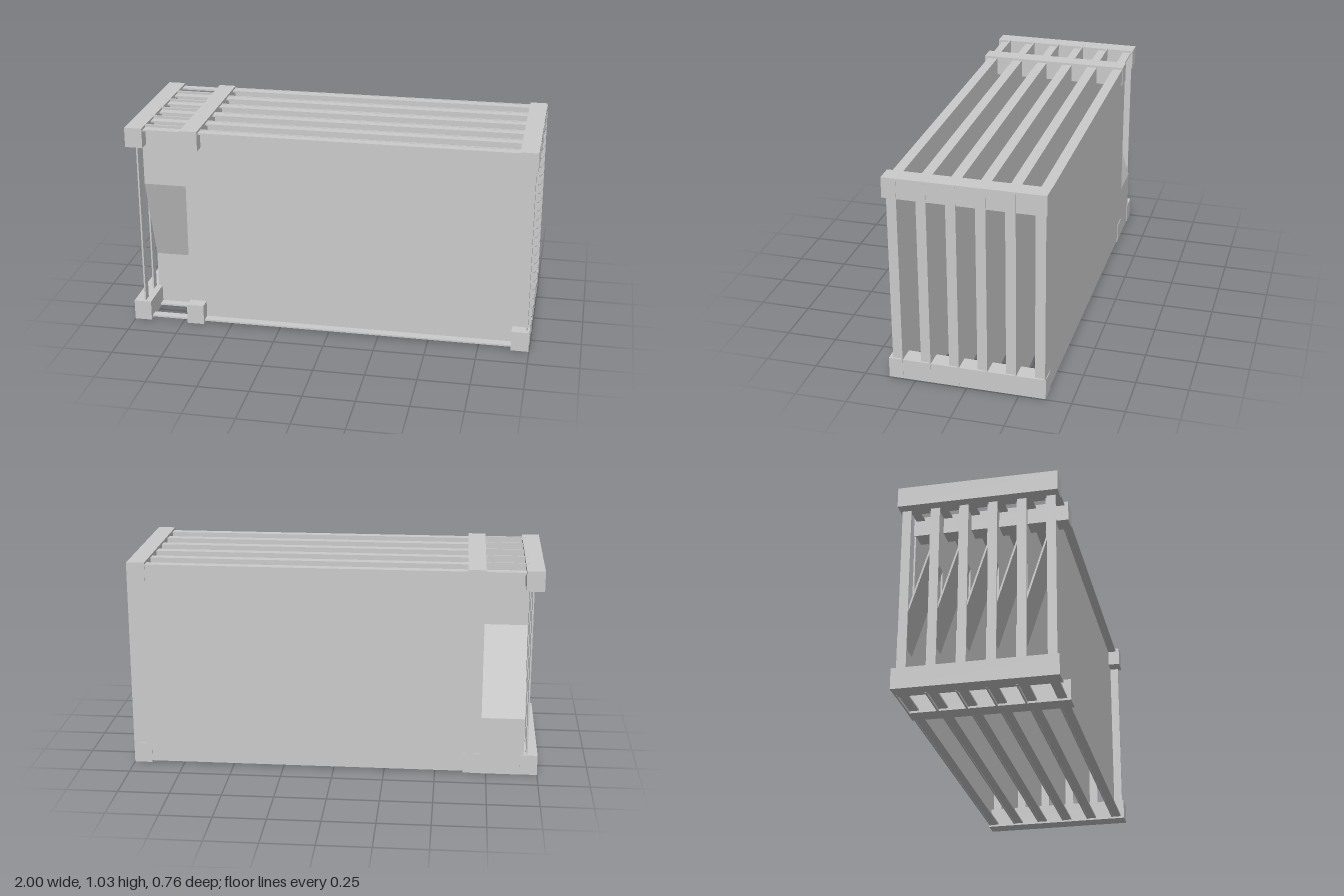
import * as THREE from 'three';

const material = new THREE.MeshStandardMaterial({ color: 0xcccccc, flatShading: true, side: THREE.DoubleSide });

const PITCH = 0.137;      // spacing of the panels along z
const FRONT = 0.318;      // front face of the first panel
const SHEET = 0.008;      // sheet thickness

function add(group, name, geometry) {
  const mesh = new THREE.Mesh(geometry, material);
  mesh.name = name;
  group.add(mesh);
  return mesh;
}

// Box given by its minimum and maximum corners
function box(group, name, [x0, y0, z0], [x1, y1, z1]) {
  const mesh = add(group, name, new THREE.BoxGeometry(x1 - x0, y1 - y0, z1 - z0));
  mesh.position.set((x0 + x1) / 2, (y0 + y1) / 2, (z0 + z1) / 2);
  return mesh;
}

// Flat strap bent into a rectangular loop, its width along z
function strapLoop() {
  const outer = new THREE.Shape([[-0.952, 0.012], [0.988, 0.012], [0.988, 1.02], [-0.952, 1.02]]
    .map(([x, y]) => new THREE.Vector2(x, y)));
  outer.holes.push(new THREE.Path([[-0.944, 0.02], [-0.944, 1.012], [0.98, 1.012], [0.98, 0.02]]
    .map(([x, y]) => new THREE.Vector2(x, y))));
  return new THREE.ExtrudeGeometry(outer, { depth: 0.043, bevelEnabled: false });
}

// Sheet that leans from one panel back to the next, profile in z and y
function slantedSheet() {
  const t = SHEET;
  const profile = [
    [0, 1.033], [-t, 1.033], [-t, 0.725], [-PITCH - t, 0.29],
    [-PITCH - t, 0], [-PITCH, 0], [-PITCH, 0.287], [0, 0.722],
  ].map(([z, y]) => new THREE.Vector2(z, y));
  const geometry = new THREE.ExtrudeGeometry(new THREE.Shape(profile), { depth: 0.21, bevelEnabled: false });
  return geometry.rotateY(-Math.PI / 2);
}

export function createModel() {
  const model = new THREE.Group();
  model.name = 'panelRack';

  // Cross rails at the top and bottom
  const rails = new THREE.Group();
  rails.name = 'crossRails';
  for (const [x0, x1] of [[-1, -0.913], [-0.724, -0.638], [0.911, 0.998]]) {
    box(rails, 'bottomRail', [x0, 0.002, -0.378], [x1, 0.103, 0.379]);
    box(rails, 'topRail', [x0, 0.932, -0.378], [x1, 1.031, 0.379]);
  }
  model.add(rails);

  // Six straps, each with a thin panel behind it
  const loop = strapLoop();
  const slant = slantedSheet();
  for (let i = 0; i < 6; i++) {
    const z = FRONT - i * PITCH;
    add(model, 'strapLoop', loop).position.z = z;
    box(model, 'panel', [-0.722, 0.01, z - SHEET], [1, 1.022, z]);

    // Slanted sheet in each of the five gaps
    if (i < 5) add(model, 'slantedSheet', slant).position.set(-0.722, 0, z);
  }
  return model;
}
